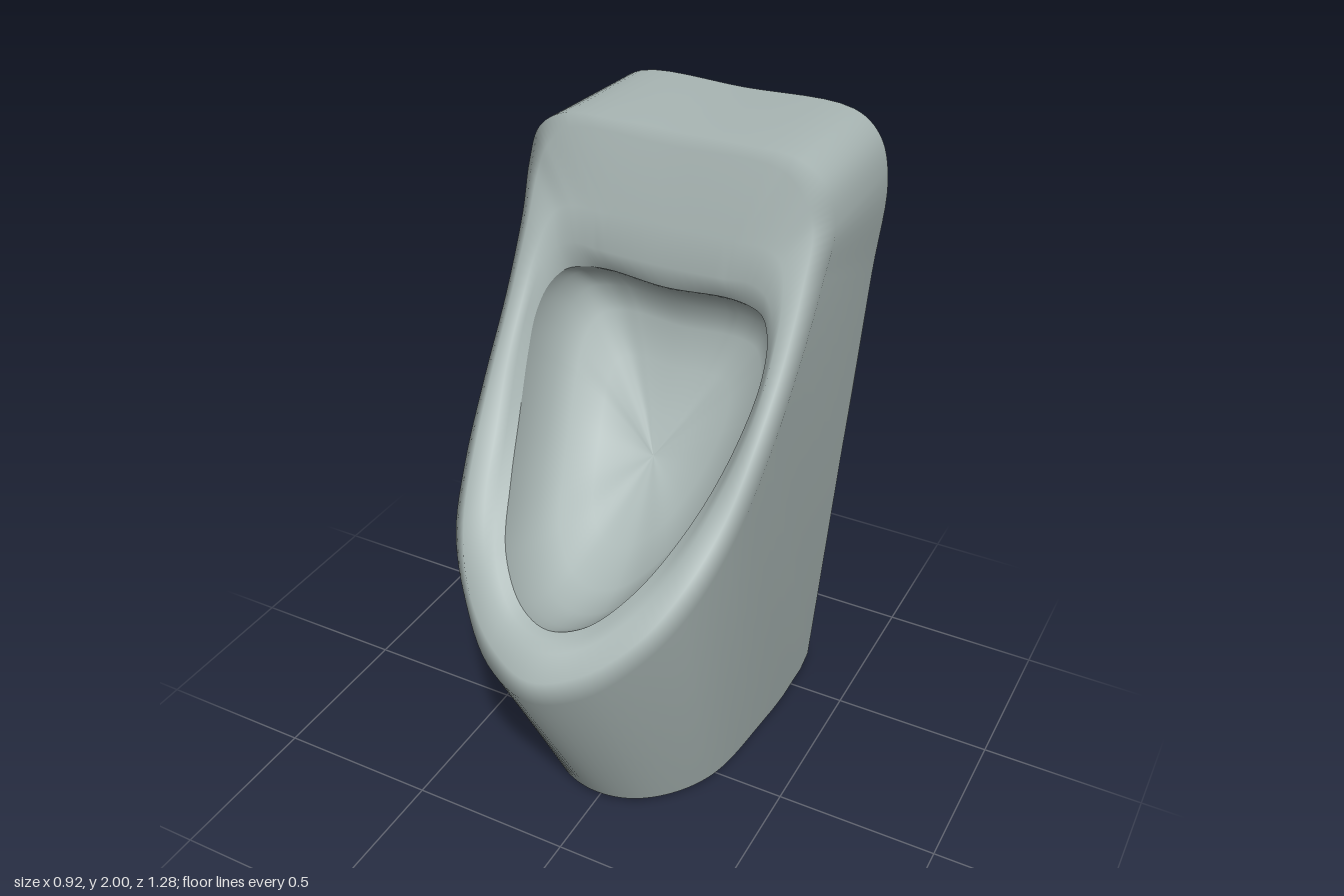
import * as THREE from 'three';
import { toCreasedNormals } from 'three/addons/utils/BufferGeometryUtils.js';

const STEPS = 132;
const BACK = -0.64;

// Closed smooth loop from half-loop keys (bottom centre, up the +x side, to top centre)
function loop(keys) {
  const half = keys.map(k => new THREE.Vector3(...k));
  const other = half.slice(1, -1).reverse().map(p => new THREE.Vector3(-p.x, p.y, p.z));
  const curve = new THREE.CatmullRomCurve3([...half, ...other], true, 'centripetal');
  return Array.from({ length: STEPS }, (_, i) => {
    const p = curve.getPoint(i / STEPS);
    p.y = THREE.MathUtils.clamp(p.y, 0, 2);
    p.z = Math.max(p.z, BACK);
    return p;
  });
}

// Skin through a series of loops
function skin(loops) {
  const pos = [], index = [];
  loops.forEach(l => l.forEach(p => pos.push(p.x, p.y, p.z)));
  for (let i = 0; i < loops.length - 1; i++) {
    for (let j = 0; j < STEPS; j++) {
      const k = (j + 1) % STEPS;
      const a = i * STEPS + j, b = i * STEPS + k, c = a + STEPS, d = b + STEPS;
      index.push(a, b, c, b, d, c);
    }
  }
  const g = new THREE.BufferGeometry();
  g.setAttribute('position', new THREE.Float32BufferAttribute(pos, 3));
  g.setIndex(index);
  g.computeVertexNormals();
  return g;
}

const point = (x, y, z) => Array.from({ length: STEPS }, () => new THREE.Vector3(x, y, z));

export function createModel() {
  const ceramic = new THREE.MeshStandardMaterial({ color: 0xa9b6b4 });
  ceramic.name = 'ceramic';
  const group = new THREE.Group();
  group.name = 'urinal';
  const add = (name, geometry) => {
    const mesh = new THREE.Mesh(geometry, ceramic);
    mesh.name = name;
    group.add(mesh);
  };

  // Base outline in front, wall outline behind
  const baseKeys = [
    [0, 0.03, 0.275], [0.11, 0.03, 0.25], [0.21, 0.03, 0.17], [0.285, 0.03, 0.04],
    [0.32, 0.03, -0.2], [0.322, 0.03, BACK], [0.382, 0.9, BACK], [0.424, 1.5, BACK],
    [0.445, 1.8, BACK], [0.41, 1.92, BACK], [0.33, 1.98, BACK], [0, 1.985, BACK]];
  const footKeys = baseKeys.map(([x, y, z], i) =>
    i < 6 ? [x * 0.92, 0, i < 5 ? z - 0.03 : z] : [x, y, z]);

  // Outer edge of the rim
  const edgeKeys = [
    [0, 0.69, 0.636], [0.15, 0.73, 0.595], [0.285, 0.84, 0.49], [0.37, 0.97, 0.39],
    [0.418, 1.12, 0.25], [0.44, 1.3, 0.1], [0.449, 1.5, -0.05], [0.455, 1.7, -0.165],
    [0.458, 1.83, -0.215], [0.42, 1.94, -0.215], [0.33, 1.995, -0.215], [0, 2, -0.215]];
  // Crest of the rim
  const crestKeys = [
    [0, 0.76, 0.632], [0.14, 0.8, 0.59], [0.265, 0.9, 0.5], [0.34, 1.02, 0.39],
    [0.385, 1.16, 0.25], [0.405, 1.32, 0.12], [0.415, 1.5, -0.015], [0.415, 1.69, -0.125],
    [0.41, 1.82, -0.18], [0.38, 1.9, -0.185], [0.31, 1.965, -0.185], [0, 1.97, -0.185]];
  // Inner slope of the rim and the upper panel
  const slopeKeys = [
    [0, 0.825, 0.58], [0.12, 0.855, 0.545], [0.23, 0.945, 0.455], [0.305, 1.07, 0.33],
    [0.345, 1.2, 0.2], [0.375, 1.36, 0.075], [0.38, 1.5, -0.02], [0.37, 1.64, -0.1],
    [0.34, 1.73, -0.145], [0.29, 1.755, -0.155], [0.2, 1.755, -0.157], [0, 1.755, -0.157]];
  const browKeys = [
    [0, 0.848, 0.552], [0.11, 0.87, 0.52], [0.215, 0.96, 0.43], [0.287, 1.08, 0.29],
    [0.33, 1.21, 0.16], [0.36, 1.365, 0.045], [0.366, 1.48, -0.03], [0.35, 1.59, -0.088],
    [0.315, 1.645, -0.112], [0.265, 1.665, -0.12], [0.19, 1.66, -0.12], [0, 1.655, -0.12]];
  // Edge of the opening
  const mouthKeys = [
    [0, 0.855, 0.52], [0.1, 0.88, 0.49], [0.2, 0.97, 0.4], [0.27, 1.09, 0.25],
    [0.315, 1.22, 0.12], [0.345, 1.37, 0.01], [0.35, 1.46, -0.045], [0.335, 1.53, -0.095],
    [0.3, 1.57, -0.135], [0.25, 1.58, -0.155], [0.18, 1.585, -0.16], [0, 1.575, -0.155]];

  const foot = loop(footKeys);
  const mouth = loop(mouthKeys);
  add('shellAndRim', skin([foot, ...[baseKeys, edgeKeys, crestKeys, slopeKeys, browKeys].map(loop), mouth]));

  // Flat back and underside fan out from the middle of their shared edge
  add('backAndUnderside', toCreasedNormals(skin([point(0, 0, BACK), foot]), 0.6));

  // Bowl: the opening shrinks as it sinks into the body
  const centre = new THREE.Vector3(0, 1.2, 0.15);
  const inward = new THREE.Vector3(0, -0.5, -0.87);
  const sunk = (scale, depth) => mouth.map(p =>
    p.clone().sub(centre).multiplyScalar(scale).add(centre).addScaledVector(inward, depth));
  add('bowl', skin([mouth, sunk(0.99, 0.06), sunk(0.93, 0.14), sunk(0.8, 0.2),
    sunk(0.55, 0.25), sunk(0.25, 0.275), sunk(0, 0.28)]));

  return group;
}
